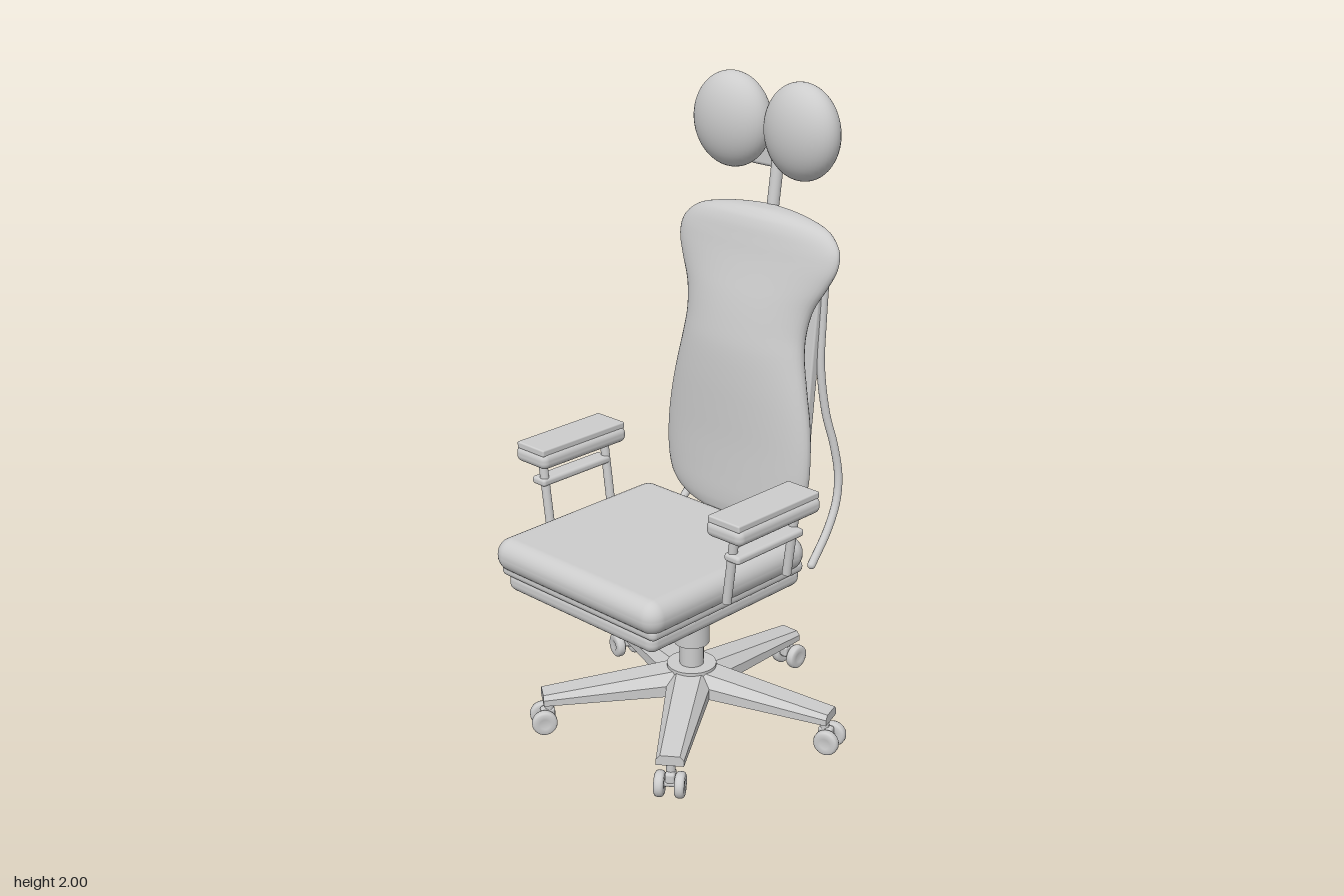
import * as THREE from 'three';
import { RoundedBoxGeometry } from 'three/addons/geometries/RoundedBoxGeometry.js';

const grey = new THREE.MeshStandardMaterial({ color: 0xcccccc });
grey.name = 'light grey';

const V = (x, y, z) => new THREE.Vector3(x, y, z);

function add(parent, name, geometry, x = 0, y = 0, z = 0) {
  const mesh = new THREE.Mesh(geometry, grey);
  mesh.name = name;
  mesh.position.set(x, y, z);
  parent.add(mesh);
  return mesh;
}

const rounded = (w, h, d, r) => new RoundedBoxGeometry(w, h, d, 4, r);
const cylinder = (r, h) => new THREE.CylinderGeometry(r, r, h, 32);

// Straight rod between two points
function rod(parent, name, a, b, r) {
  const dir = b.clone().sub(a);
  const mesh = add(parent, name, cylinder(r, dir.length()));
  mesh.position.copy(a).add(b).multiplyScalar(0.5);
  mesh.quaternion.setFromUnitVectors(V(0, 1, 0), dir.normalize());
  return mesh;
}

// Tapered spoke along +z with chamfered upper edges
function legGeometry() {
  const section = (z, w, y0, y1, y2, t) =>
    [[-w, y0, z], [w, y0, z], [w, y1, z], [t, y2, z], [-t, y2, z], [-w, y1, z]];
  const a = section(0.02, 0.072, 0.115, 0.155, 0.19, 0.04);
  const b = section(0.475, 0.042, 0.103, 0.122, 0.135, 0.03);
  const pos = [];
  const tri = (...pts) => pts.forEach((p) => pos.push(...p));
  for (let i = 0; i < 6; i++) {
    const j = (i + 1) % 6;
    tri(a[i], b[j], b[i], a[i], a[j], b[j]);
    if (i > 0 && i < 5) tri(b[0], b[i], b[j], a[0], a[j], a[i]);
  }
  const g = new THREE.BufferGeometry();
  g.setAttribute('position', new THREE.Float32BufferAttribute(pos, 3));
  g.computeVertexNormals();
  return g;
}

// Wheel profile with rounded rims, turned so its axle lies along x
function wheelGeometry() {
  const p = [[0, -0.012], [0.016, -0.012], [0.017, -0.015], [0.032, -0.015], [0.038, -0.011],
    [0.04, -0.005], [0.04, 0.005], [0.038, 0.011], [0.032, 0.015], [0.017, 0.015], [0.016, 0.012], [0, 0.012]];
  return new THREE.LatheGeometry(p.map((q) => new THREE.Vector2(...q)), 28).rotateZ(Math.PI / 2);
}

// Backrest cushion: elliptical sections stacked along y
function cushionGeometry() {
  // y, half width, front z, back z
  const rows = [
    [0.663, 0.01, -0.16, -0.18], [0.665, 0.13, -0.14, -0.205], [0.69, 0.215, -0.132, -0.235],
    [0.73, 0.262, -0.13, -0.255], [0.8, 0.286, -0.133, -0.268], [0.9, 0.29, -0.137, -0.275],
    [1.0, 0.28, -0.138, -0.285], [1.1, 0.26, -0.14, -0.292], [1.2, 0.239, -0.147, -0.302],
    [1.27, 0.234, -0.16, -0.312], [1.35, 0.25, -0.18, -0.322], [1.42, 0.288, -0.202, -0.333],
    [1.48, 0.314, -0.22, -0.342], [1.53, 0.31, -0.233, -0.352], [1.575, 0.265, -0.247, -0.36],
    [1.6, 0.18, -0.265, -0.357], [1.612, 0.08, -0.285, -0.345], [1.614, 0.01, -0.31, -0.325],
  ];
  const curve = (k) => new THREE.CatmullRomCurve3(rows.map((r) => V(r[0], r[k], 0)));
  const [cw, cf, cb] = [1, 2, 3].map(curve);
  const nu = 48, nv = 68, pos = [], index = [];
  for (let j = 0; j <= nv; j++) {
    const w = cw.getPoint(j / nv), f = cf.getPoint(j / nv).y, b = cb.getPoint(j / nv).y;
    for (let i = 0; i < nu; i++) {
      const t = (i / nu) * Math.PI * 2;
      pos.push(w.y * Math.cos(t), w.x, (f + b) / 2 + ((f - b) / 2) * Math.sin(t));
      if (j === nv) continue;
      const n = (i + 1) % nu, p = j * nu;
      index.push(p + i, p + nu + i, p + n, p + n, p + nu + i, p + nu + n);
    }
  }
  const last = nv * nu;
  for (let i = 1; i < nu - 1; i++) index.push(0, i, i + 1, last, last + i + 1, last + i);
  const g = new THREE.BufferGeometry();
  g.setAttribute('position', new THREE.Float32BufferAttribute(pos, 3));
  g.setIndex(index);
  g.computeVertexNormals();
  return g;
}

export function createModel() {
  const chair = new THREE.Group();
  chair.name = 'officeChair';

  // Five-spoke base with twin-wheel casters
  const base = new THREE.Group();
  base.name = 'base';
  chair.add(base);
  const leg = legGeometry(), wheel = wheelGeometry();
  for (let i = 0; i < 5; i++) {
    const spoke = new THREE.Group();
    spoke.name = 'spoke';
    spoke.rotation.y = Math.PI + (i * Math.PI * 2) / 5;
    add(spoke, 'leg', leg);
    add(spoke, 'casterStem', cylinder(0.014, 0.07), 0, 0.075, 0.455);
    add(spoke, 'casterAxle', cylinder(0.01, 0.06), 0, 0.042, 0.473).rotation.z = Math.PI / 2;
    add(spoke, 'casterBody', rounded(0.03, 0.035, 0.045, 0.008), 0, 0.06, 0.46);
    for (const s of [-1, 1]) add(spoke, 'casterWheel', wheel, s * 0.031, 0.04, 0.473);
    base.add(spoke);
  }
  add(base, 'hub', cylinder(0.078, 0.092), 0, 0.147, 0);

  // Gas lift column
  add(chair, 'innerColumn', cylinder(0.038, 0.12), 0, 0.23, 0);
  add(chair, 'outerColumn', cylinder(0.056, 0.2), 0, 0.368, 0);
  add(chair, 'columnNeck', cylinder(0.038, 0.06), 0, 0.475, 0);

  // Seat
  add(chair, 'mountingPlate', rounded(0.355, 0.07, 0.345, 0.012), 0, 0.517, 0.017);
  add(chair, 'seatPan', rounded(0.62, 0.065, 0.645, 0.028), 0, 0.545, 0.163);
  add(chair, 'seatRim', rounded(0.65, 0.04, 0.65, 0.018), 0, 0.582, 0.17);
  add(chair, 'seatCushion', rounded(0.685, 0.105, 0.67, 0.05), 0, 0.631, 0.18);

  // Backrest
  add(chair, 'backCushion', cushionGeometry());
  const panel = add(chair, 'backPanel', rounded(0.43, 0.765, 0.03, 0.006), 0, 1.175, -0.315);
  panel.rotation.x = -0.1;

  for (const s of [-1, 1]) {
    // Bent side tube behind the backrest
    const path = [[0.215, 1.53, -0.357], [0.215, 1.3, -0.342], [0.22, 1.15, -0.333], [0.237, 1.0, -0.343],
      [0.257, 0.9, -0.36], [0.272, 0.8, -0.368], [0.28, 0.72, -0.352], [0.287, 0.64, -0.305], [0.293, 0.55, -0.225]];
    const points = path.map(([x, y, z]) => V(s * x, y, z));
    add(chair, 'backTube', new THREE.TubeGeometry(new THREE.CatmullRomCurve3(points), 60, 0.013, 12));
    for (const [p, r] of [[points[0], 0], [points[8], 0]]) {
      add(chair, 'tubeEnd', new THREE.SphereGeometry(0.013, 12, 8), p.x, p.y, p.z);
    }

    // Armrest
    const arm = new THREE.Group();
    arm.name = s > 0 ? 'leftArmrest' : 'rightArmrest';
    chair.add(arm);
    add(arm, 'armPad', rounded(0.137, 0.052, 0.355, 0.022), s * 0.402, 0.86, 0.122);
    add(arm, 'armPadTop', rounded(0.12, 0.022, 0.345, 0.005), s * 0.402, 0.889, 0.122);
    add(arm, 'armCrossbar', rounded(0.058, 0.025, 0.285, 0.01), s * 0.405, 0.772, 0.122);
    for (const z of [0.245, -0.015]) {
      rod(arm, 'armPost', V(s * 0.373, 0.62, z), V(s * 0.403, 0.845, z), 0.014);
    }

    // Headrest pad
    const pad = add(chair, 'headrestPad', new THREE.SphereGeometry(1, 40, 28), s * 0.137, 1.855, -0.32);
    pad.scale.set(0.137, 0.145, 0.081);
    pad.rotation.y = -0.06 * s;
  }

  // Headrest support
  rod(chair, 'headrestStem', V(0, 1.55, -0.345), V(0, 1.8, -0.382), 0.019);
  add(chair, 'headrestBar', rounded(0.23, 0.075, 0.05, 0.012), 0, 1.752, -0.395);
  return chair;
}
